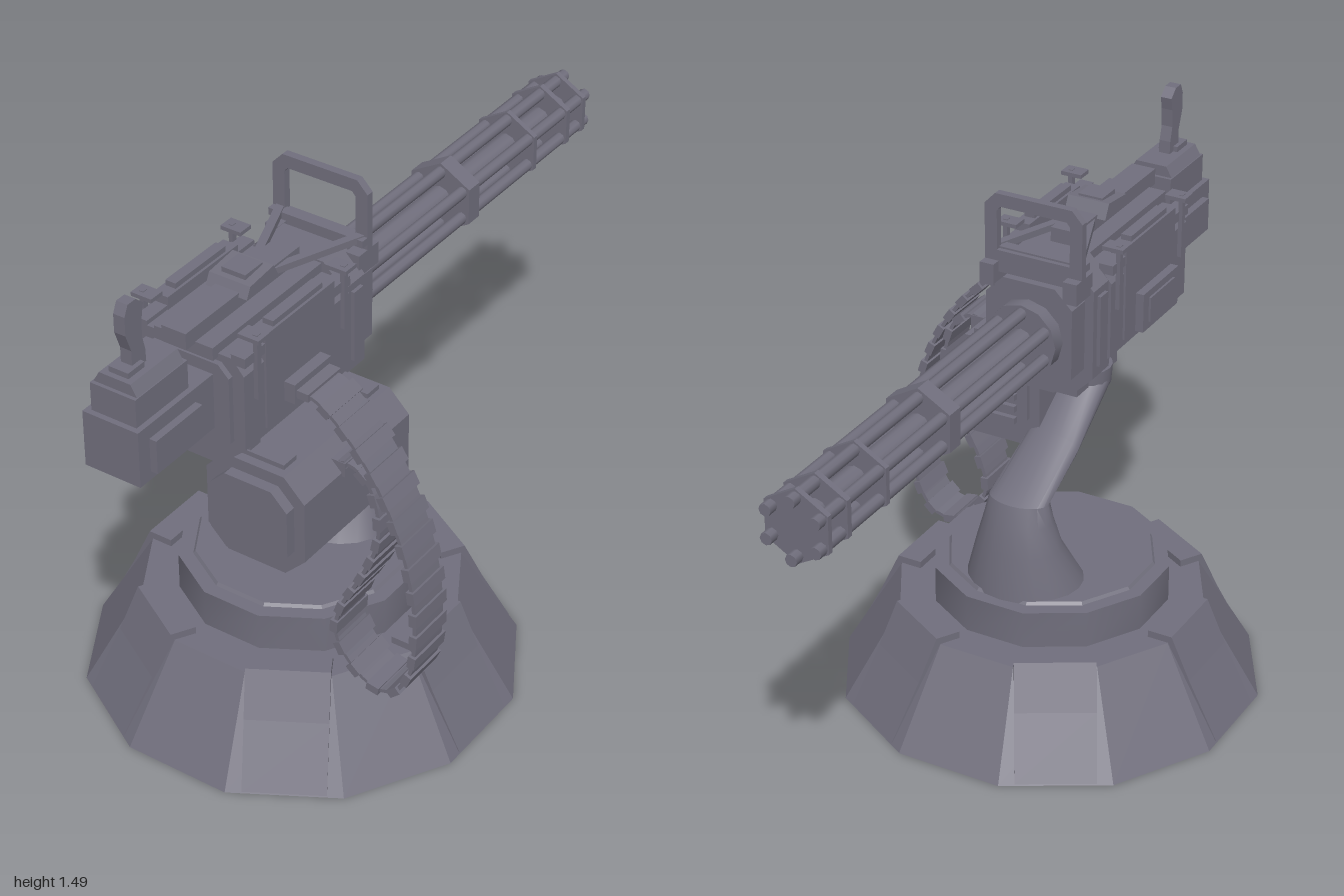
import * as THREE from 'three';
import { toCreasedNormals } from 'three/addons/utils/BufferGeometryUtils.js';

const metal = new THREE.MeshStandardMaterial({ color: 0x706e7c });
metal.name = 'gunmetal grey';

export function createModel() {
  const root = new THREE.Group();
  root.name = 'rotaryGunTurret';
  const AXIS_Y = 1.095, BASE_Z = 0.255;

  const add = (name, geo, parent = root) => {
    const m = new THREE.Mesh(geo, metal);
    m.name = name;
    parent.add(m);
    return m;
  };
  const box = (name, x0, x1, y0, y1, z0, z1) => {
    const m = add(name, new THREE.BoxGeometry(x1 - x0, y1 - y0, z1 - z0));
    m.position.set((x0 + x1) / 2, (y0 + y1) / 2, (z0 + z1) / 2);
    return m;
  };
  const shapeOf = pts => new THREE.Shape(pts.map(p => new THREE.Vector2(p[0], p[1])));
  // Outline in x/y pushed along z
  const prismZ = (name, pts, z0, z1) => {
    const g = new THREE.ExtrudeGeometry(shapeOf(pts), { depth: z1 - z0, bevelEnabled: false });
    return add(name, g.translate(0, 0, z0));
  };
  // Outline in z/y pushed along x, centred on x = 0
  const prismX = (name, pts, halfWidth, parent = root) => {
    const flipped = pts.map(p => [-p[0], p[1]]);
    const g = new THREE.ExtrudeGeometry(shapeOf(flipped), { depth: 2 * halfWidth, bevelEnabled: false });
    return add(name, g.translate(0, 0, -halfWidth).rotateY(Math.PI / 2), parent);
  };
  // Rectangle with cut corners
  const cut = (x0, x1, y0, y1, b, t = b) => [
    [x0 + b, y0], [x1 - b, y0], [x1, y0 + b], [x1, y1 - t],
    [x1 - t, y1], [x0 + t, y1], [x0, y1 - t], [x0, y0 + b]];
  const rodZ = (name, r, z0, z1, x, y, sides) => {
    const g = new THREE.CylinderGeometry(r, r, z1 - z0, sides).rotateX(Math.PI / 2);
    const m = add(name, sides > 6 ? toCreasedNormals(g, 1) : g.toNonIndexed());
    if (sides <= 6) m.geometry.computeVertexNormals();
    m.position.set(x, y, (z0 + z1) / 2);
    return m;
  };
  const barBetween = (name, a, b, w, h) => {
    const p = new THREE.Vector3(...a), q = new THREE.Vector3(...b);
    const m = add(name, new THREE.BoxGeometry(w, h, p.distanceTo(q)));
    m.position.copy(p).lerp(q, 0.5);
    m.lookAt(q);
  };

  // Twelve-sided base with six raised buttresses
  const disc = (name, rTop, rBottom, y0, y1, crease) => {
    const g = new THREE.CylinderGeometry(rTop, rBottom, y1 - y0, 12).rotateY(Math.PI / 12);
    add(name, toCreasedNormals(g, crease)).position.set(0, (y0 + y1) / 2, BASE_Z);
  };
  disc('base', 0.424, 0.582, 0, 0.27, 0.1);
  disc('turntable', 0.325, 0.325, 0.26, 0.375, 0.6);
  disc('turntableTop', 0.28, 0.29, 0.37, 0.383, 0.1);
  for (let i = 0; i < 6; i++) {
    const pivot = new THREE.Group();
    pivot.name = 'buttress';
    pivot.position.z = BASE_Z;
    pivot.rotation.y = Math.PI / 2 + i * Math.PI / 3;
    root.add(pivot);
    prismX('buttressBlock', [[0.35, 0.2], [0.54, 0.02], [0.562, 0.005], [0.476, 0.17], [0.42, 0.29], [0.35, 0.29]], 0.108, pivot);
  }

  // Bent neck: elliptical sections given as back point, front point (z, y) and half width
  const sections = [
    [-0.03, 0.37, 0.258, 0.37, 0.165], [-0.012, 0.50, 0.165, 0.51, 0.12],
    [0.004, 0.58, 0.145, 0.58, 0.098], [0.022, 0.635, 0.13, 0.635, 0.086],
    [0.245, 0.745, 0.25, 0.675, 0.08], [0.40, 0.85, 0.48, 0.80, 0.07]];
  const N = 20, pos = [], idx = [];
  sections.forEach(([z0, y0, z1, y1, w]) => {
    for (let i = 0; i < N; i++) {
      const a = i / N * Math.PI * 2, t = (1 + Math.cos(a)) / 2;
      pos.push(w * Math.sin(a), y0 + (y1 - y0) * t, z0 + (z1 - z0) * t);
    }
  });
  for (let s = 0; s < sections.length - 1; s++) for (let i = 0; i < N; i++) {
    const a = s * N + i, b = s * N + (i + 1) % N;
    idx.push(a, b, a + N, b, b + N, a + N);
  }
  const neck = new THREE.BufferGeometry();
  neck.setAttribute('position', new THREE.Float32BufferAttribute(pos, 3));
  neck.setIndex(idx);
  add('neck', toCreasedNormals(neck, 0.7));
  const collar = new THREE.CylinderGeometry(0.072, 0.068, 0.055, 16);
  add('neckCollar', toCreasedNormals(collar, 0.6)).position.set(0, 0.84, 0.44);
  box('mountPost', -0.045, 0.045, 0.85, 0.96, 0.39, 0.49);

  // Receiver
  prismZ('receiver', [[-0.08, 0.93], [0.08, 0.93], [0.158, 1.0], [0.158, 1.21], [0.125, 1.25],
    [-0.125, 1.25], [-0.158, 1.21], [-0.158, 1.0]], 0.27, 0.7);
  prismZ('receiverRearPlate', cut(-0.125, 0.125, 0.965, 1.23, 0.05, 0.03), 0.69, 0.715);
  prismZ('frontBlock', cut(-0.15, 0.15, 0.91, 1.28, 0.06), 0.19, 0.28);
  prismZ('frontStep', cut(-0.125, 0.125, 0.945, 1.24, 0.05), 0.12, 0.2);
  box('frontBlockFoot', -0.1, 0.1, 0.9, 0.98, 0.2, 0.265);
  [-1, 1].forEach(s => {
    const x = s * 0.142;
    box('sidePod', x - 0.022, x + 0.022, 1.02, 1.285, 0.34, 0.62);
    box('sideRail', x - 0.02, x + 0.02, 1.235, 1.262, 0.27, 0.7);
    box('sidePodTop', x - 0.015, x + 0.015, 1.28, 1.3, 0.38, 0.58);
    box('frontBlockRib', s * 0.15 - 0.01, s * 0.15 + 0.01, 1.0, 1.2, 0.21, 0.25);
    [0.3, 0.655].forEach(z => {
      box('latchPost', s * 0.165 - 0.006, s * 0.165 + 0.006, 1.13, 1.31, z - 0.008, z + 0.008);
      box('latchCap', s * 0.155 - 0.03, s * 0.155 + 0.03, 1.297, 1.308, z - 0.022, z + 0.022);
    });
  });
  box('leftSidePanel', -0.187, -0.15, 1.02, 1.13, 0.4, 0.6);
  box('leftSidePanelInset', -0.193, -0.187, 1.04, 1.11, 0.43, 0.57);

  // Top cover, centre rail and sight hump
  box('topCover', -0.085, 0.085, 1.24, 1.275, 0.27, 0.72);
  box('topRail', -0.035, 0.035, 1.27, 1.315, 0.3, 0.755);
  prismX('topHump', [[0.55, 1.305], [0.535, 1.335], [0.44, 1.345], [0.42, 1.305]], 0.06);
  box('topHumpCap', -0.035, 0.035, 1.335, 1.35, 0.45, 0.52);

  // Rear control box with trigger grip
  box('rearBox', -0.08, 0.08, 1.045, 1.198, 0.69, 1.0);
  box('rearBoxSidePanel', -0.1, 0.1, 1.068, 1.16, 0.785, 0.96);
  box('rearBoxEndPanel', -0.06, 0.06, 1.07, 1.17, 0.99, 1.0);
  box('controlHousing', -0.065, 0.065, 1.19, 1.275, 0.79, 0.985);
  prismZ('controlHousingTop', [[-0.065, 1.27], [0.065, 1.27], [0.045, 1.305], [-0.045, 1.305]], 0.8, 0.975);
  prismX('trigger', [[0.96, 1.29], [0.96, 1.32], [0.9, 1.32], [0.9, 1.29]], 0.028);
  prismX('grip', [[0.93, 1.3], [0.93, 1.36], [0.948, 1.41], [0.948, 1.46], [0.935, 1.488], [0.905, 1.488],
    [0.88, 1.465], [0.887, 1.43], [0.89, 1.38], [0.88, 1.34], [0.878, 1.3]], 0.016);

  // Carry handle and its braces
  const handle = shapeOf([[-0.14, 1.24], [0.14, 1.24], [0.14, 1.425], [0.11, 1.457], [-0.11, 1.457], [-0.14, 1.425]]);
  handle.holes.push(new THREE.Path([[-0.105, 1.3], [-0.105, 1.41], [-0.095, 1.422], [0.095, 1.422], [0.105, 1.41], [0.105, 1.3]]
    .map(p => new THREE.Vector2(...p))));
  add('carryHandle', new THREE.ExtrudeGeometry(handle, { depth: 0.022, bevelEnabled: false }).translate(0, 0, 0.142));
  [-1, 1].forEach(s => {
    barBetween('handleBrace', [s * 0.125, 1.3, 0.15], [s * 0.02, 1.3, 0.42], 0.022, 0.018);
    box('handleBracket', s * 0.12 - 0.02, s * 0.12 + 0.02, 1.21, 1.27, 0.115, 0.2);
  });
  box('handleCrossBar', -0.14, 0.14, 1.285, 1.305, 0.155, 0.185);

  // Barrel cluster
  rodZ('barrelHub', 0.1, 0.08, 0.13, 0, AXIS_Y, 12);
  rodZ('barrelShaft', 0.034, -0.97, 0.1, 0, AXIS_Y, 10);
  for (let i = 0; i < 6; i++) {
    const a = i * Math.PI / 3;
    rodZ('barrel', 0.0165, -1, 0.1, 0.077 * Math.sin(a), AXIS_Y + 0.077 * Math.cos(a), 8);
  }
  [[-0.43, -0.38, 0.103], [-0.72, -0.705, 0.1], [-0.89, -0.873, 0.1], [-0.972, -0.957, 0.1]]
    .forEach(([z0, z1, r]) => rodZ('barrelClamp', r, z0, z1, 0, AXIS_Y, 6).rotation.z = Math.PI);

  // Ammunition drum, end caps, vent ribs and hanger
  prismZ('ammoDrum', cut(0.04, 0.325, 0.682, 0.967, 0.058), 0.255, 0.7);
  prismZ('drumFrontCap', cut(0.07, 0.295, 0.715, 0.935, 0.045), 0.69, 0.73);
  prismZ('drumRearCap', cut(0.07, 0.295, 0.72, 0.93, 0.045), 0.24, 0.26);
  for (let i = 0; i < 4; i++) box('drumVentRib', 0.1, 0.265, 0.752 + i * 0.035, 0.77 + i * 0.035, 0.225, 0.245);
  [0.3, 0.65].forEach(z => {
    box('drumHanger', 0.04, 0.25, 0.955, 0.98, z - 0.025, z + 0.025);
    box('drumHangerPost', 0.12, 0.15, 0.96, 1.04, z - 0.02, z + 0.02);
  });
  box('feedPort', 0.15, 0.195, 1.06, 1.115, 0.4, 0.55);
  box('drumOutlet', 0.28, 0.335, 0.9, 0.94, 0.405, 0.545);

  // Ammunition belt: thin strap carrying evenly spaced links
  const belt = new THREE.CatmullRomCurve3([[0.17, 1.085], [0.24, 1.08], [0.34, 1.0], [0.44, 0.86], [0.505, 0.69],
    [0.53, 0.52], [0.515, 0.36], [0.465, 0.285], [0.41, 0.275], [0.34, 0.32], [0.297, 0.4], [0.315, 0.49],
    [0.375, 0.61], [0.42, 0.73], [0.418, 0.83], [0.39, 0.9], [0.34, 0.932], [0.29, 0.922]]
    .map(p => new THREE.Vector3(p[0], p[1], 0)));
  const outer = [], inner = [], steps = 90;
  for (let i = 0; i <= steps; i++) {
    const p = belt.getPointAt(i / steps), t = belt.getTangentAt(i / steps);
    outer.push([p.x - t.y * 0.005, p.y + t.x * 0.005]);
    inner.unshift([p.x + t.y * 0.005, p.y - t.x * 0.005]);
  }
  prismZ('beltStrap', [...outer, ...inner], 0.415, 0.535);
  const links = Math.round(belt.getLength() / 0.067);
  for (let i = 0; i < links; i++) {
    const u = (i + 0.6) / links, p = belt.getPointAt(u), t = belt.getTangentAt(u);
    const link = add('beltLink', new THREE.BoxGeometry(0.036, 0.022, 0.136));
    link.position.set(p.x, p.y, 0.475);
    link.rotation.z = Math.atan2(t.y, t.x);
  }
  return root;
}
